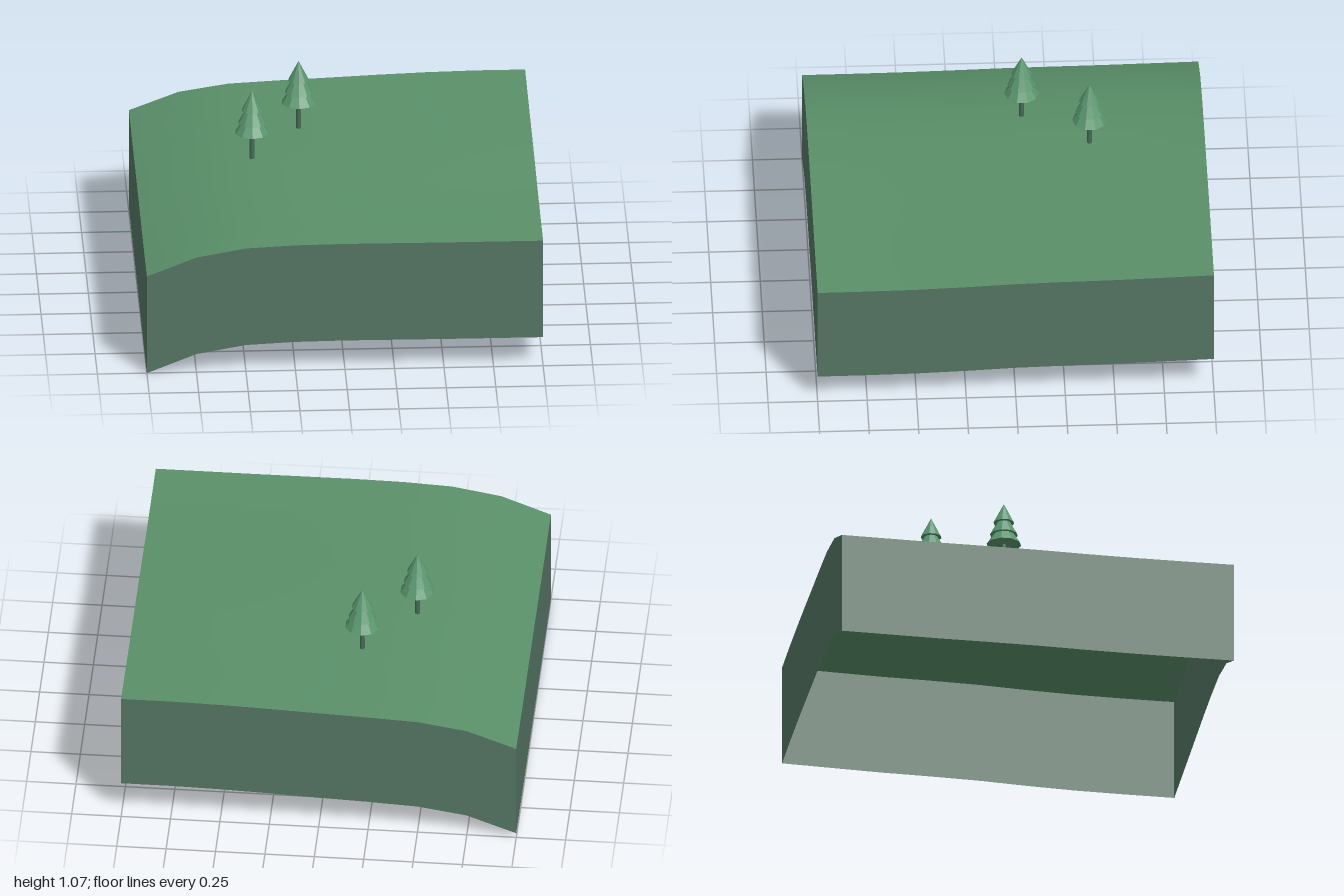
import * as THREE from 'three';

const N = 8, DEPTH = 0.533;
// Edge heights at nine even stations across x, and the blend front to back
const FRONT = [0.538, 0.638, 0.683, 0.695, 0.698, 0.697, 0.696, 0.696, 0.696];
const BACK = [0.564, 0.660, 0.700, 0.713, 0.723, 0.734, 0.743, 0.748, 0.748];
const BLEND = [0, 0.03, 0.1, 0.27, 0.5, 0.62, 0.7, 0.85, 1];

function sample(list, t) {
  const f = THREE.MathUtils.clamp(t, 0, 1) * N;
  const i = Math.min(Math.floor(f), N - 1);
  return THREE.MathUtils.lerp(list[i], list[i + 1], f - i);
}

// Ground height at any point
function height(x, z) {
  const u = (x + 1) / 2;
  return THREE.MathUtils.lerp(sample(FRONT, u), sample(BACK, u), sample(BLEND, (1 - z) / 2));
}

function mesh(name, geometry, material) {
  const m = new THREE.Mesh(geometry, material);
  m.name = name;
  return m;
}

export function createModel() {
  const grass = new THREE.MeshStandardMaterial({ color: 0x5a9069, side: THREE.DoubleSide });
  grass.name = 'grass green';
  const earth = new THREE.MeshStandardMaterial({ color: 0x557564, side: THREE.DoubleSide });
  earth.name = 'grey green earth';
  const needles = new THREE.MeshStandardMaterial({ color: 0x5a966f, flatShading: true });
  needles.name = 'pine green';
  const bark = new THREE.MeshStandardMaterial({ color: 0x476b57 });
  bark.name = 'dark green bark';

  const model = new THREE.Group();
  model.name = 'hillside';

  // Rolling ground surface
  const ground = new THREE.PlaneGeometry(2, 2, N, N).rotateX(-Math.PI / 2);
  const gp = ground.attributes.position;
  for (let i = 0; i < gp.count; i++) gp.setY(i, height(gp.getX(i), gp.getZ(i)));
  ground.computeVertexNormals();
  model.add(mesh('ground', ground, grass));

  // Four skirt walls of constant depth, open underneath
  ['front', 'left', 'back', 'right'].forEach((side, k) => {
    const wall = new THREE.PlaneGeometry(2, 1, N, 1).translate(0, 0, 1).rotateY(k * Math.PI / 2);
    const p = wall.attributes.position;
    for (let i = 0; i < p.count; i++) {
      const top = height(p.getX(i), p.getZ(i));
      p.setY(i, p.getY(i) > 0 ? top : top - DEPTH);
    }
    model.add(mesh(side + 'Wall', wall, earth));
  });

  // Pine trees: thin trunk and three stacked cones [radius, base, height]
  const tiers = [[0.088, 0, 0.14], [0.071, 0.054, 0.13], [0.053, 0.121, 0.106]];
  [[-0.42, -0.085, 0.84], [-0.17, -0.418, 0.852]].forEach(([x, z, base], n) => {
    const tree = new THREE.Group();
    tree.name = 'tree' + (n + 1);
    tree.position.set(x, base, z);
    const drop = base - height(x, z) + 0.005;
    const trunk = new THREE.CylinderGeometry(0.011, 0.013, drop + 0.02, 8);
    tree.add(mesh('trunk', trunk.translate(0, (0.02 - drop) / 2, 0), bark));
    tiers.forEach(([r, y, h], i) => {
      const cone = new THREE.ConeGeometry(r, h, 10).translate(0, y + h / 2, 0);
      tree.add(mesh('foliage' + (i + 1), cone, needles));
    });
    model.add(tree);
  });
  return model;
}
